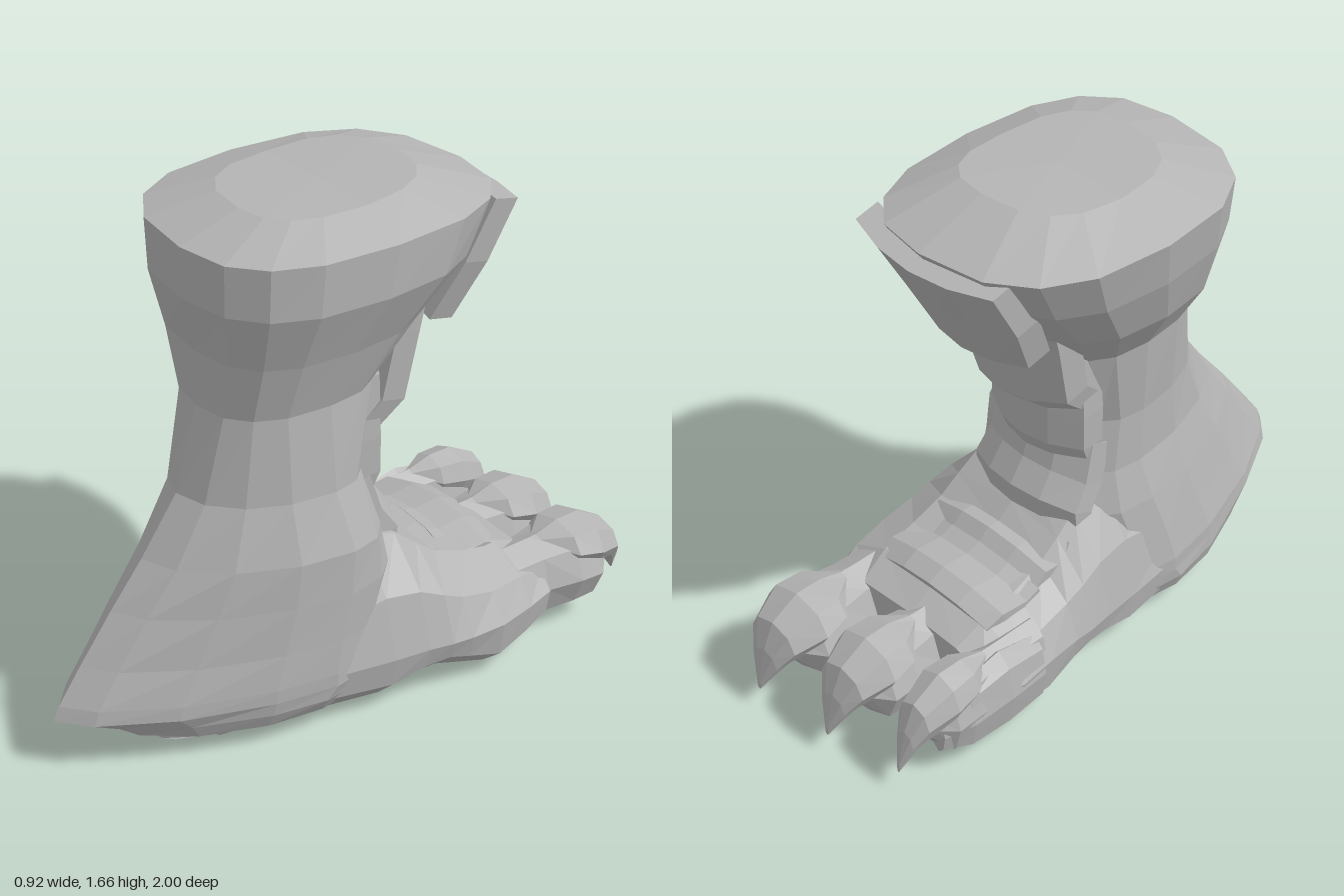
import * as THREE from 'three';

const grey = new THREE.MeshStandardMaterial({ color: 0xb4b4b4 });
grey.name = 'grey';

// Joins closed rings of points into a faceted solid with capped ends.
function loft(name, rings) {
  const pos = [];
  const tri = (a, b, c) => pos.push(...a, ...b, ...c);
  const n = rings[0].length;
  const middle = (r) => [0, 1, 2].map((k) => r.reduce((s, p) => s + p[k], 0) / n);
  const first = rings[0], last = rings[rings.length - 1];
  const m0 = middle(first), m1 = middle(last);
  for (let j = 0; j < n; j++) {
    const k = (j + 1) % n;
    for (let i = 0; i < rings.length - 1; i++) {
      const a = rings[i], b = rings[i + 1];
      tri(a[j], a[k], b[k]);
      tri(a[j], b[k], b[j]);
    }
    tri(m0, first[k], first[j]);
    tri(m1, last[j], last[k]);
  }
  // Turn the solid right side out if its signed volume is negative
  let volume = 0;
  const A = new THREE.Vector3(), B = new THREE.Vector3(), C = new THREE.Vector3();
  for (let i = 0; i < pos.length; i += 9) {
    A.fromArray(pos, i); B.fromArray(pos, i + 3); C.fromArray(pos, i + 6);
    volume += A.dot(B.cross(C));
  }
  if (volume < 0) {
    for (let i = 0; i < pos.length; i += 9) {
      for (let k = 0; k < 3; k++) [pos[i + 3 + k], pos[i + 6 + k]] = [pos[i + 6 + k], pos[i + 3 + k]];
    }
  }
  const geo = new THREE.BufferGeometry();
  geo.setAttribute('position', new THREE.Float32BufferAttribute(pos, 3));
  geo.computeVertexNormals();
  const mesh = new THREE.Mesh(geo, grey);
  mesh.name = name;
  return mesh;
}

// Horizontal leg section; e is the exponent of the rear half (2 = pointed wedge)
function legRing([y, back, front, left, right, zc, e, tilt = 0]) {
  const ring = [];
  for (let i = 0; i < 16; i++) {
    const a = (i / 16) * Math.PI * 2, s = Math.sin(a), c = Math.cos(a);
    const p = c > 0 ? e : 0.75;
    const x = Math.abs(s) ** p * (s > 0 ? right : left);
    const z = zc + Math.abs(c) ** p * (c > 0 ? back - zc : front - zc);
    ring.push([x, y + (c < 0 ? tilt * c : 0), z]);
  }
  return ring;
}

// Upright section of the foot, with a side crease at y = 0.2
function footRing([z, left, right, top, bottom]) {
  const h = top - 0.2;
  const side = (w) => [
    [w * 0.78, bottom, z], [w * 0.96, bottom + 0.07, z], [w, 0.2, z],
    [w * 0.87, 0.2 + h * 0.5, z], [w * 0.55, 0.2 + h * 0.9, z],
  ];
  return [[0, bottom, z], ...side(right), [0, top, z], ...side(left).reverse()];
}

// Oval section for toes and claws
function ovalRing(cx, cy, z, rx, ry) {
  return Array.from({ length: 8 }, (_, i) => {
    const a = (i / 8) * Math.PI * 2;
    return [cx + rx * Math.sin(a), cy + ry * Math.cos(a), z];
  });
}

// Curved scute: stations are [y, z, halfWidth]; thick is the inward [dy, dz]
function scute(name, stations, thick, bulge) {
  return loft(name, stations.map(([y, z, w]) => {
    const us = [-1, -0.5, 0, 0.5, 1];
    const outer = us.map((u) => [
      u * w, y + thick[0] * bulge * u * u, z + thick[1] * bulge * u * u]);
    const inner = outer.map((p) => [p[0], p[1] + thick[0], p[2] + thick[1]]).reverse();
    return [...outer, ...inner];
  }));
}

export function createModel() {
  const model = new THREE.Group();
  model.name = 'foot';

  // Leg and heel: y, back, front, left x, right x, centre z, rear exponent, front tilt
  model.add(loft('legAndHeel', [
    [0.02, 0.7, 0.56, -0.13, 0.13, 0.62, 1],
    [0.08, 0.82, 0, -0.31, 0.33, 0.25, 1.2],
    [0.13, 0.9, -0.06, -0.33, 0.36, 0.25, 1.35],
    [0.175, 1.0, -0.06, -0.33, 0.37, 0.22, 1.4],
    [0.22, 0.98, -0.06, -0.33, 0.37, 0.22, 1.4],
    [0.33, 0.9, -0.06, -0.31, 0.365, 0.2, 1.4],
    [0.48, 0.785, -0.1, -0.28, 0.36, 0.16, 1.3],
    [0.62, 0.67, -0.06, -0.24, 0.35, 0.14, 1.15],
    [0.8, 0.54, -0.02, -0.23, 0.28, 0.16, 1.0],
    [1.07, 0.46, -0.1, -0.25, 0.24, 0.15, 0.8],
    [1.25, 0.46, -0.26, -0.37, 0.29, 0.1, 0.75],
    [1.43, 0.5, -0.42, -0.43, 0.36, 0.03, 0.75],
    [1.59, 0.5, -0.52, -0.46, 0.36, 0, 0.75],
    [1.655, 0.3, -0.28, -0.27, 0.21, 0, 0.75, -0.02],
  ].map(legRing)));

  // Sole and forefoot: z, left x, right x, top, bottom
  model.add(loft('forefoot', [
    [0.55, -0.25, 0.26, 0.3, 0.04],
    [0.3, -0.31, 0.34, 0.45, 0.045],
    [0.02, -0.34, 0.4, 0.6, 0.03],
    [-0.1, -0.35, 0.42, 0.57, 0.06],
    [-0.18, -0.36, 0.44, 0.5, 0.07],
    [-0.25, -0.36, 0.45, 0.44, 0.05],
    [-0.37, -0.37, 0.455, 0.39, 0.01],
    [-0.5, -0.385, 0.43, 0.37, 0.03],
    [-0.61, -0.37, 0.4, 0.31, 0.05],
  ].map(footRing)));

  // Overlapping scutes down the shin
  const shin = new THREE.Group();
  shin.name = 'shinScutes';
  shin.add(
    scute('topScute', [[1.55, -0.56, 0.28], [1.37, -0.46, 0.27], [1.19, -0.37, 0.22]], [0.02, 0.085], 0.65),
    scute('upperScute', [[1.34, -0.31, 0.22], [1.18, -0.27, 0.22], [0.96, -0.225, 0.21], [0.88, -0.14, 0.19]], [0.02, 0.085], 0.9),
    scute('middleScute', [[1.08, -0.14, 0.19], [0.87, -0.14, 0.2], [0.75, -0.14, 0.2], [0.68, -0.11, 0.19]], [0, 0.08], 0.9),
    scute('lowerScute', [[0.78, -0.09, 0.2], [0.65, -0.13, 0.21], [0.57, -0.185, 0.22], [0.49, -0.18, 0.22]], [-0.03, 0.07], 0.9),
  );
  model.add(shin);

  // Low ridges across the instep
  const instep = new THREE.Group();
  instep.name = 'instepScutes';
  [
    [[0.5, -0.17, 0.23], [0.45, -0.21, 0.24], [0.455, -0.28, 0.24], [0.41, -0.33, 0.24]],
    [[0.42, -0.32, 0.25], [0.4, -0.37, 0.25], [0.41, -0.47, 0.25], [0.38, -0.53, 0.24]],
  ].forEach((s, i) => instep.add(scute('instepScute' + (i + 1), s, [-0.07, 0.02], 0.6)));
  model.add(instep);

  // Three toes with short hooked claws: centre x, z shift, width scale
  [[-0.29, 0.07, 0.66], [-0.025, 0.02, 0.93], [0.27, 0, 1]].forEach(([x, dz, w], i) => {
    const toe = new THREE.Group();
    toe.name = 'toe' + (i + 1);
    const rings = (rows) => rows.map(([z, cy, rx, ry]) => ovalRing(x, cy, z + dz, rx * w, ry));
    toe.add(loft('toePad', rings([
      [-0.45, 0.19, 0.11, 0.14], [-0.62, 0.19, 0.115, 0.14], [-0.74, 0.195, 0.145, 0.14],
      [-0.83, 0.185, 0.14, 0.13], [-0.89, 0.2, 0.08, 0.06],
    ])));
    toe.add(loft('claw', rings([
      [-0.65, 0.3, 0.03, 0.03], [-0.74, 0.28, 0.125, 0.075], [-0.83, 0.265, 0.14, 0.09],
      [-0.93, 0.23, 0.1, 0.07], [-0.97, 0.165, 0.055, 0.05], [-1.0, 0.085, 0.008, 0.015],
    ])));
    model.add(toe);
  });

  // Outer flank running along the smallest toe
  model.add(loft('outerFlank', [
    [-0.4, 0.17, 0.05, 0.13], [-0.55, 0.18, 0.065, 0.15], [-0.7, 0.17, 0.06, 0.13], [-0.8, 0.16, 0.03, 0.07],
  ].map(([z, cy, rx, ry]) => ovalRing(-0.325, cy, z, rx, ry))));

  return model;
}
